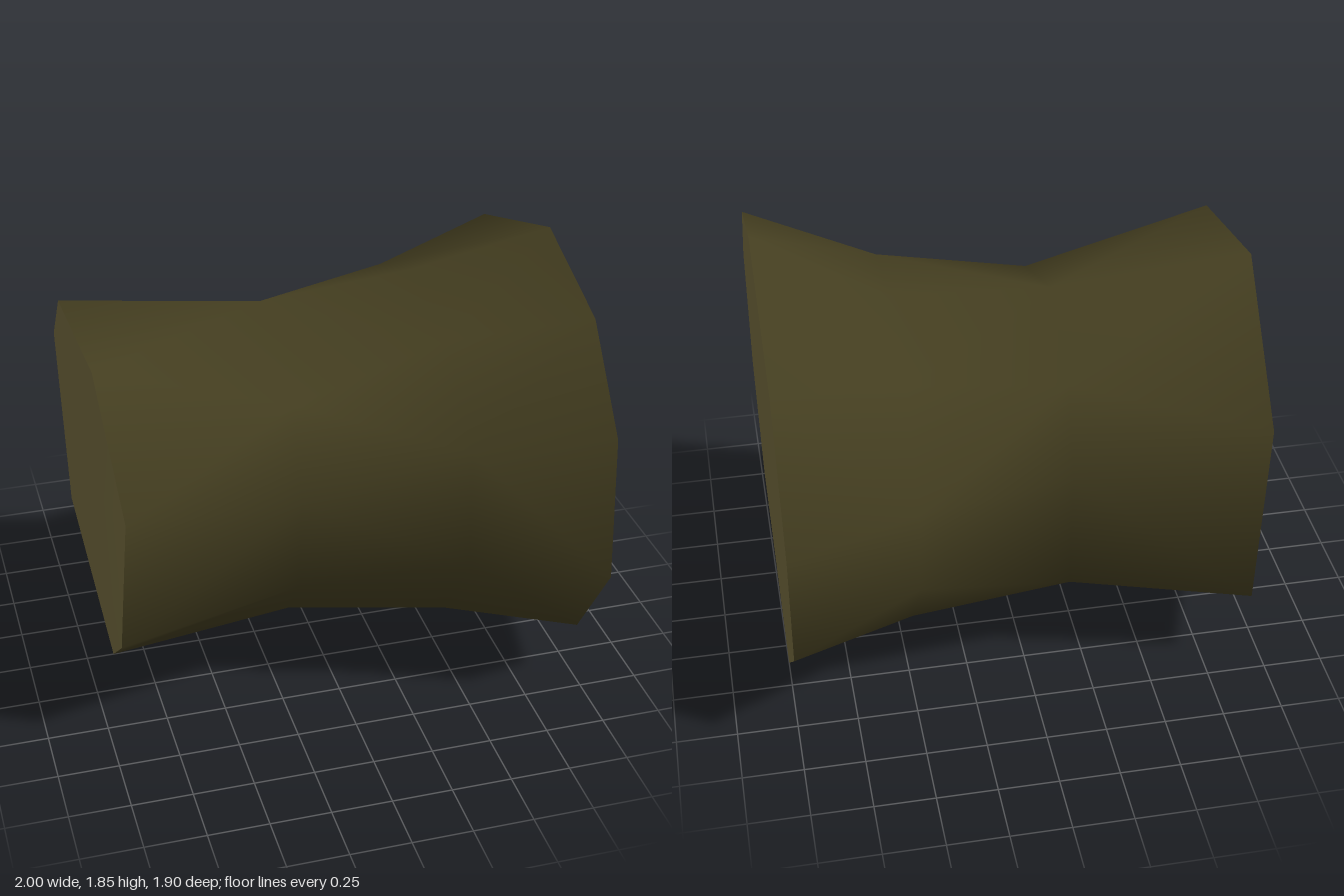
import * as THREE from 'three';

const CY = 0.9; // height of the log axis
const angleOf = ([, y, z]) => Math.atan2(y - CY, z);
const byAngle = (pts) => pts.sort((p, q) => angleOf(p) - angleOf(q));
const ring = (x, pts) => pts.map(([z, y]) => [x, y, z]);

// Cross-sections along the log, each corner as [x, y, z]
const sections = [
  [[-1, 1.68, -0.12], [-0.96, 1.62, 0.4], [-0.93, 1.18, 0.81], [-0.945, 0.5, 0.64],
    [-0.89, 0.03, 0.04], [-0.925, 0.38, -0.72], [-0.95, 1.23, -0.725]],
  ring(-0.18, [[-0.08, 1.59], [0.44, 1.38], [0.565, 1.0], [0.5, 0.56], [0.33, 0.34],
    [0.03, 0.18], [-0.56, 0.44], [-0.585, 1.0], [-0.45, 1.36]]),
  ring(0.47, [[-0.1, 1.64], [0.38, 1.545], [0.72, 1.22], [0.75, 0.72], [0.48, 0.32],
    [-0.1, 0.13], [-0.45, 0.26], [-0.74, 0.65], [-0.77, 1.05], [-0.51, 1.48]]),
  ring(1, [[0.09, 1.85], [0.6, 1.68], [0.9, 1.3], [0.95, 0.69], [0.67, 0.26],
    [-0.36, 0], [-0.9, 0.5], [-0.95, 1.04], [-0.66, 1.59]]),
].map(byAngle);

function makeGeometry(points, index) {
  const g = new THREE.BufferGeometry();
  g.setAttribute('position', new THREE.Float32BufferAttribute(points.flat(), 3));
  g.setIndex(index);
  g.computeVertexNormals();
  return g;
}

// Triangles joining two outlines, always stepping to the nearer corner angle
function stitch(a, b, startA, startB) {
  const next = (s, i) => angleOf(s[(i + 1) % s.length]) + (i + 1 >= s.length ? 2 * Math.PI : 0);
  const index = [];
  let i = 0, j = 0;
  while (i < a.length || j < b.length) {
    const stepA = j === b.length || (i < a.length && next(a, i) < next(b, j));
    const p = startA + (i % a.length), q = startB + (j % b.length);
    if (stepA) i++;
    else j++;
    index.push(p, q, stepA ? startA + (i % a.length) : startB + (j % b.length));
  }
  return index;
}

// Flat cut end, fanned around the axis
function makeEnd(outline, x, facesLeft) {
  const n = outline.length, index = [];
  for (let i = 0; i < n; i++) {
    const j = (i + 1) % n;
    index.push(n, facesLeft ? j : i, facesLeft ? i : j);
  }
  return makeGeometry([...outline, [x, CY, 0]], index);
}

export function createModel() {
  const bark = new THREE.MeshStandardMaterial({ color: 0x443e20 });
  bark.name = 'bark';
  const cutWood = new THREE.MeshStandardMaterial({ color: 0x73693e });
  cutWood.name = 'cutWood';

  const group = new THREE.Group();
  group.name = 'log';
  const add = (name, geometry, material) => {
    const mesh = new THREE.Mesh(geometry, material);
    mesh.name = name;
    group.add(mesh);
  };

  // Smooth waisted trunk
  const index = [];
  let start = 0;
  for (let k = 0; k < sections.length - 1; k++) {
    const nextStart = start + sections[k].length;
    index.push(...stitch(sections[k], sections[k + 1], start, nextStart));
    start = nextStart;
  }
  add('trunk', makeGeometry(sections.flat(), index), bark);

  // Cut ends
  add('rightCutEnd', makeEnd(sections[0], -0.945, false), cutWood);
  add('leftCutEnd', makeEnd(sections[3], 1, true), cutWood);

  return group;
}
